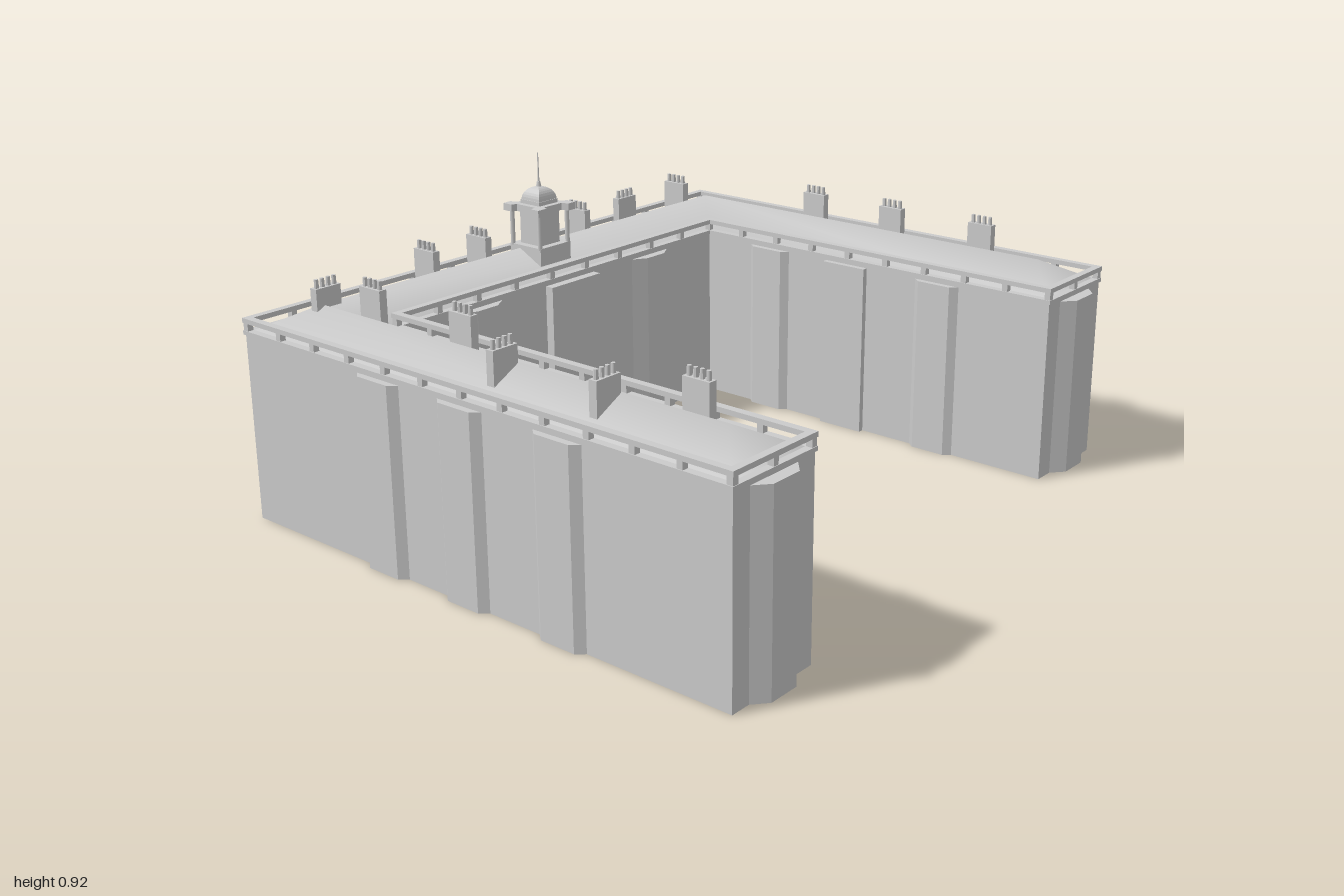
import * as THREE from 'three';

const mat = new THREE.MeshStandardMaterial({ color: 0xcccccc, side: THREE.DoubleSide });
const flat = new THREE.MeshStandardMaterial({ color: 0xcccccc, side: THREE.DoubleSide, flatShading: true });

// U-shaped footprint in (x, z), moved inwards by d
const outline = (d) => [
  [-0.985 + d, -0.88 + d], [0.98 - d, -0.88 + d], [0.98 - d, 0.705 - d], [0.665 + d, 0.705 - d],
  [0.665 + d, -0.575 - d], [-0.675 - d, -0.575 - d], [-0.675 - d, 0.85 - d], [-0.985 + d, 0.85 - d],
];

function add(parent, name, geometry, x = 0, y = 0, z = 0, material = flat) {
  const mesh = new THREE.Mesh(geometry, material);
  mesh.name = name;
  mesh.position.set(x, y, z);
  parent.add(mesh);
  return mesh;
}

function box(parent, name, w, h, d, x, y0, z) {
  return add(parent, name, new THREE.BoxGeometry(w, h, d), x, y0 + h / 2, z);
}

const toVectors = (pts) => pts.map(([x, z]) => new THREE.Vector2(x, -z));

// Upright prism over a plan in (x, z)
function prism(pts, height, hole) {
  const shape = new THREE.Shape(toVectors(pts));
  if (hole) shape.holes.push(new THREE.Path(toVectors(hole)));
  return new THREE.ExtrudeGeometry(shape, { depth: height, bevelEnabled: false }).rotateX(-Math.PI / 2);
}

// Outer shell of the building, open underneath
function wallGeometry(pts, height) {
  const pos = [];
  pts.forEach(([ax, az], i) => {
    const [bx, bz] = pts[(i + 1) % pts.length];
    pos.push(bx, 0, bz, ax, 0, az, ax, height, az, bx, 0, bz, ax, height, az, bx, height, bz);
  });
  const g = new THREE.BufferGeometry();
  g.setAttribute('position', new THREE.Float32BufferAttribute(pos, 3));
  g.computeVertexNormals();
  return g;
}

// Hipped roof: eaves 0-7, ridge 8-11
function roofGeometry() {
  const pos = outline(0.012).flatMap(([x, z]) => [x, 0.557, z]);
  pos.push(-0.83, 0.63, 0.71, -0.83, 0.63, -0.727, 0.823, 0.63, -0.727, 0.823, 0.63, 0.57);
  const quads = [[0, 9, 10, 1], [1, 10, 11, 2], [3, 11, 10, 4], [4, 10, 9, 5], [5, 9, 8, 6], [7, 8, 9, 0]];
  const index = quads.flatMap(([a, b, c, d]) => [a, b, c, a, c, d]);
  index.push(2, 11, 3, 6, 8, 7);
  const g = new THREE.BufferGeometry();
  g.setAttribute('position', new THREE.Float32BufferAttribute(pos, 3));
  g.setIndex(index);
  g.computeVertexNormals();
  return g;
}

// Shallow bay; angle turns its face from +z, chamfer is the width of its slanted cheeks
function bay(parent, x, z, angle, width, depth, chamfer) {
  const w = width / 2;
  const g = prism([[-w, -0.004], [-w, 0], [-w + chamfer, depth], [w - chamfer, depth], [w, 0], [w, -0.004]], 0.543);
  add(parent, 'bay', g, x, 0, z).rotation.y = angle;
}

function chimney(parent, x, z, alongX) {
  const stack = new THREE.Group();
  stack.name = 'chimney';
  box(stack, 'chimneyStack', 0.025, 0.12, 0.084, 0, 0.56, 0);
  for (let i = 0; i < 4; i++) {
    add(stack, 'chimneyPot', new THREE.CylinderGeometry(0.006, 0.007, 0.026, 8), 0, 0.692, -0.03 + i * 0.02);
  }
  stack.position.set(x, 0, z);
  if (alongX) stack.rotation.y = Math.PI / 2;
  parent.add(stack);
}

function cupola() {
  const g = new THREE.Group();
  g.name = 'cupola';
  box(g, 'cupolaPlinth', 0.13, 0.055, 0.13, 0, 0.585, 0);
  box(g, 'cupolaBody', 0.084, 0.11, 0.084, 0, 0.635, 0);
  // Cornice with projecting corners above paired columns
  const corner = [[-0.08, 0.045], [-0.08, 0.075], [-0.045, 0.075], [-0.04, 0.06]];
  const plan = [];
  for (let k = 0; k < 4; k++) {
    const c = Math.cos(k * Math.PI / 2), s = Math.sin(k * Math.PI / 2);
    for (const [x, z] of [[-0.058, 0.038], ...corner.slice(0, 3), [-0.038, 0.058]]) {
      plan.push([x * c + z * s, -x * s + z * c]);
    }
  }
  add(g, 'cupolaCornice', prism(plan, 0.022), 0, 0.743, 0);
  for (const sx of [-1, 1]) for (const sz of [-1, 1]) {
    add(g, 'cupolaColumn', new THREE.CylinderGeometry(0.007, 0.007, 0.11, 8), sx * 0.06, 0.69, sz * 0.058, mat);
  }
  box(g, 'domeBase', 0.08, 0.012, 0.08, 0, 0.765, 0);
  // Four-sided dome
  const profile = [];
  for (let i = 0; i <= 8; i++) {
    const a = i / 8 * Math.PI / 2;
    profile.push(new THREE.Vector2(0.053 * Math.cos(a) + 0.0005, 0.04 * Math.sin(a)));
  }
  add(g, 'dome', new THREE.LatheGeometry(profile, 4, Math.PI / 4), 0, 0.777, 0);
  add(g, 'finial', new THREE.CylinderGeometry(0.005, 0.009, 0.02, 8), 0, 0.822, 0, mat);
  add(g, 'spire', new THREE.CylinderGeometry(0.0015, 0.003, 0.1, 6), 0, 0.87, 0, mat);
  g.position.set(-0.003, 0, -0.703);
  return g;
}

export function createModel() {
  const model = new THREE.Group();
  model.name = 'building';

  add(model, 'walls', wallGeometry(outline(0.005), 0.557));
  add(model, 'roof', roofGeometry(), 0, 0, 0, mat);

  // Parapet: ledge, posts and top rail
  const parapet = new THREE.Group();
  parapet.name = 'parapet';
  add(parapet, 'ledge', prism(outline(0), 0.012, outline(0.022)), 0, 0.55, 0);
  add(parapet, 'topRail', prism(outline(0), 0.014, outline(0.022)), 0, 0.584, 0);
  const line = outline(0.011);
  line.forEach(([ax, az], i) => {
    const [bx, bz] = line[(i + 1) % line.length];
    const n = Math.max(2, Math.round(Math.hypot(bx - ax, bz - az) / 0.148));
    for (let k = 0; k < n; k++) {
      box(parapet, 'parapetPost', 0.018, 0.024, 0.018, ax + (bx - ax) * k / n, 0.561, az + (bz - az) * k / n);
    }
  });
  model.add(parapet);

  // Bays along both faces of each wing
  const bays = new THREE.Group();
  bays.name = 'bays';
  for (const z of [-0.325, -0.02, 0.315]) {
    const square = z === -0.02 ? 0 : 0.022;
    bay(bays, -0.98, z, -Math.PI / 2, 0.16, 0.02, 0.024);
    bay(bays, 0.975, z, Math.PI / 2, 0.16, 0.025, 0.024);
    bay(bays, -0.68, z, Math.PI / 2, 0.155, 0.018, square);
    bay(bays, 0.67, z, -Math.PI / 2, 0.155, 0.018, square);
  }
  // Bays of the courtyard front and of the wing ends
  bay(bays, -0.375, -0.58, 0, 0.17, 0.028, 0.045);
  bay(bays, 0.365, -0.58, 0, 0.17, 0.028, 0.045);
  bay(bays, -0.003, -0.58, 0, 0.21, 0.028, 0);
  bay(bays, -0.832, 0.845, 0, 0.175, 0.035, 0.04);
  bay(bays, 0.823, 0.7, 0, 0.175, 0.035, 0.04);
  model.add(bays);

  for (const [x, z] of [[-0.385, -0.795], [-0.175, -0.795], [0.262, -0.795], [0.75, -0.795],
    [-0.745, -0.61], [-0.745, -0.25], [-0.745, 0.555], [0.92, -0.325], [0.92, -0.02], [0.92, 0.315]]) {
    chimney(model, x, z, false);
  }
  for (const [x, z] of [[-0.815, -0.725], [0.48, -0.79], [-0.875, 0.03], [-0.875, 0.375]]) {
    chimney(model, x, z, true);
  }

  model.add(cupola());
  return model;
}
